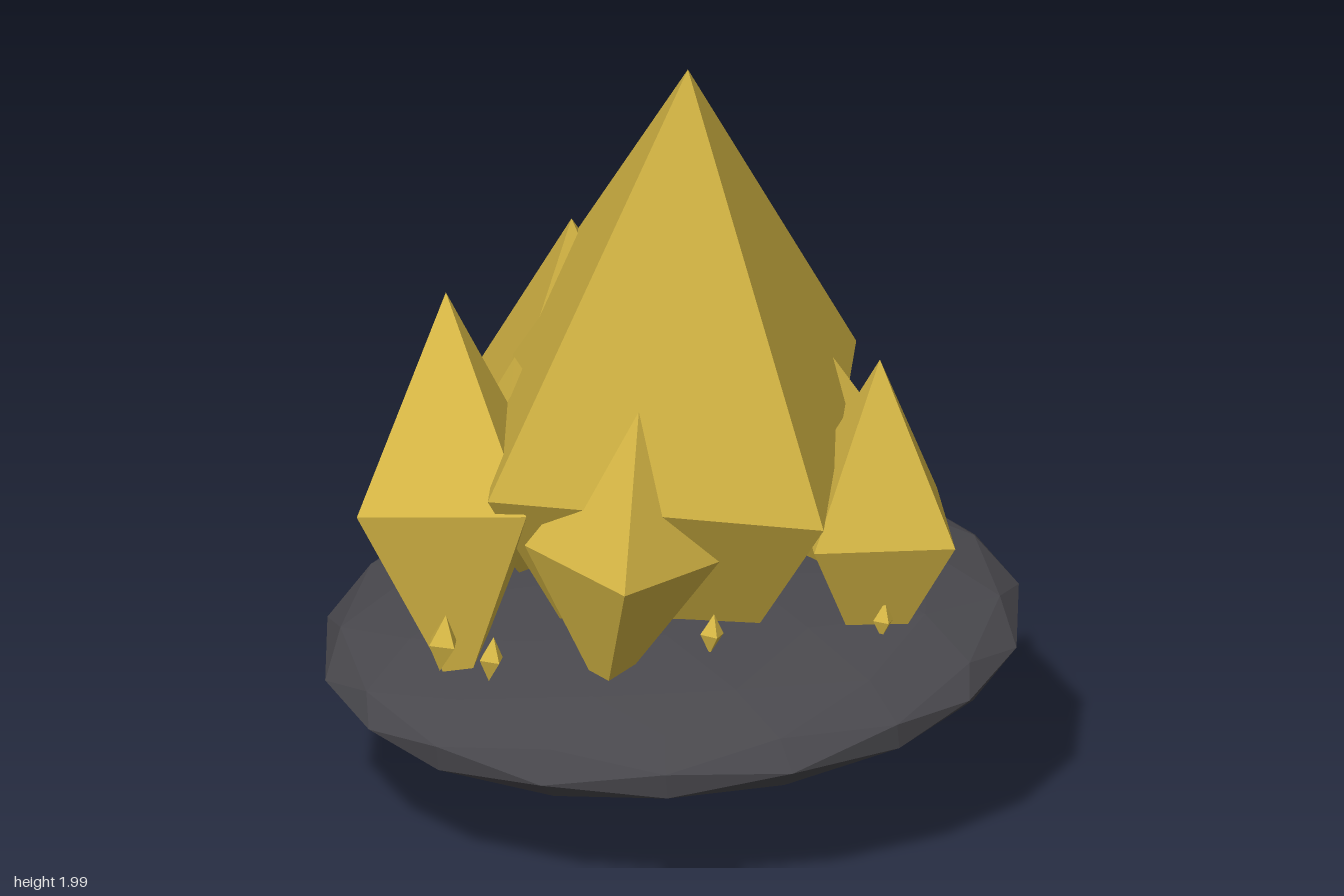
import * as THREE from 'three';

export function createModel() {
  const model = new THREE.Group();
  const gold = new THREE.MeshStandardMaterial({ color: 0xd4b544, flatShading: true });
  gold.name = 'gold crystal';
  const stone = new THREE.MeshStandardMaterial({ color: 0x48474c, flatShading: true });
  stone.name = 'dark stone';

  // Flattened, slightly tilted stone base
  const rock = new THREE.Mesh(new THREE.IcosahedronGeometry(1, 2), stone);
  rock.name = 'rockBase';
  rock.scale.set(0.83, 0.166, 0.64);
  rock.rotation.set(0.144, 0, 0.07);
  rock.position.y = 0.45;
  model.add(rock);

  // Stretched octahedron: centre, offset from centre to tip, waist radius,
  // and the horizontal direction of one waist corner
  const octahedron = new THREE.OctahedronGeometry(1, 0);
  function crystal(name, centre, tip, radius, corner) {
    const axis = new THREE.Vector3(...tip);
    const length = axis.length();
    axis.normalize();
    const side = new THREE.Vector3(corner[0], 0, corner[1]);
    side.addScaledVector(axis, -side.dot(axis)).normalize();
    const other = new THREE.Vector3().crossVectors(side, axis);
    const mesh = new THREE.Mesh(octahedron, gold);
    mesh.name = name;
    mesh.quaternion.setFromRotationMatrix(new THREE.Matrix4().makeBasis(side, axis, other));
    mesh.scale.set(radius, length, radius);
    mesh.position.set(...centre);
    model.add(mesh);
  }

  // Large crystals
  crystal('mainCrystal', [0, 1.005, 0], [0.04, 0.995, 0.13], 0.56, [0.36, 0.42]);
  crystal('leftSideCrystal', [-0.51, 0.87, 0.14], [-0.02, 0.48, -0.12], 0.284, [-0.22, 0.18]);
  crystal('rightSideCrystal', [0.48, 0.81, 0.12], [0.01, 0.42, -0.01], 0.236, [0.19, 0.14]);
  crystal('frontCrystal', [-0.11, 0.825, 0.33], [0.04, 0.385, -0.01], 0.23, [0.01, 0.23]);
  crystal('backCornerCrystal', [-0.225, 0.855, -0.3], [-0.015, 0.575, 0.09], 0.326, [-0.245, -0.215]);
  crystal('backCrystal', [0.044, 0.96, -0.22], [0.016, 0.5, -0.135], 0.283, [0.156, -0.235]);

  // Medium crystals tucked under the main one
  crystal('rightInnerCrystal', [0.335, 0.81, -0.14], [-0.03, 0.4, 0], 0.226, [0.225, -0.01]);
  crystal('backInnerCrystal', [0.25, 0.77, -0.325], [-0.03, 0.36, 0.04], 0.2, [-0.05, -0.19]);
  crystal('leftInnerCrystal', [-0.345, 0.79, -0.1], [-0.025, 0.36, 0.06], 0.2, [-0.185, -0.06]);

  // Small crystals scattered over the base: x, y, z, half height
  const shards = [
    [-0.66, 0.6, -0.295, 0.115],
    [-0.53, 0.6, 0.36, 0.07],
    [-0.415, 0.595, 0.43, 0.055],
    [0.5, 0.6, 0.22, 0.045],
    [0.1, 0.6, 0.3, 0.05],
    [-0.27, 0.61, -0.5, 0.07],
    [-0.42, 0.62, -0.21, 0.07],
    [0.34, 0.66, -0.43, 0.065],
    [0.42, 0.65, -0.35, 0.06],
  ];
  shards.forEach(([x, y, z, h], i) => {
    const turn = 0.75 + 0.1 * i;
    crystal('smallCrystal' + (i + 1), [x, y, z], [h * 0.1, h, -h * 0.1], h * 0.6,
      [Math.cos(turn), Math.sin(turn)]);
  });

  return model;
}
